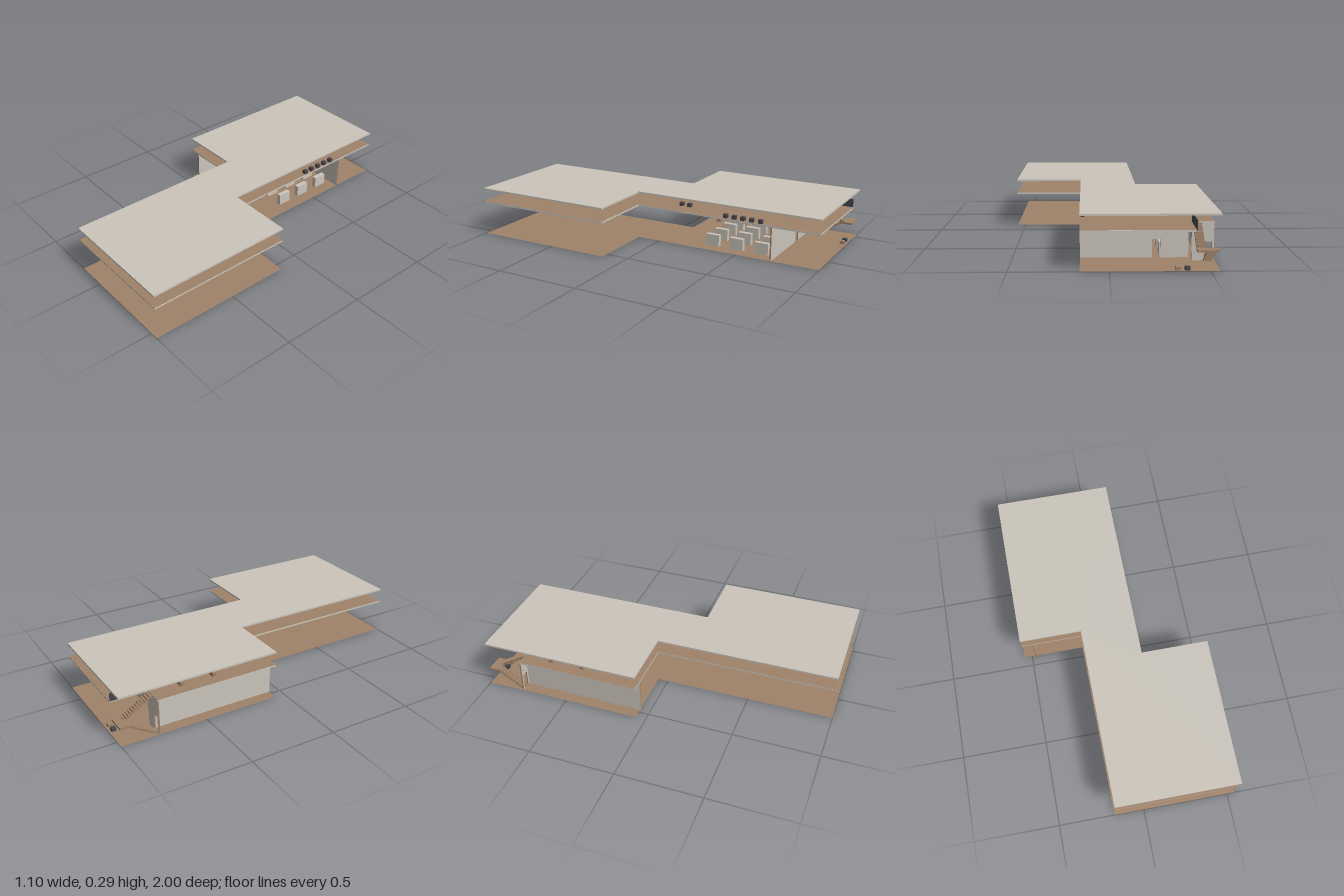
import * as THREE from 'three';

export function createModel() {
  const root = new THREE.Group();
  const mat = (name, color, side = THREE.FrontSide) => {
    const m = new THREE.MeshStandardMaterial({ color, side });
    m.name = name;
    return m;
  };
  const plaster = mat('plaster', 0xcbc5bb);
  const wood = mat('wood', 0xa0836a, THREE.DoubleSide);
  const dark = mat('darkGrey', 0x47474d);

  const add = (name, geometry, material, parent = root) => {
    const mesh = new THREE.Mesh(geometry, material);
    mesh.name = name;
    parent.add(mesh);
    return mesh;
  };
  const group = (name) => {
    const g = new THREE.Group();
    g.name = name;
    root.add(g);
    return g;
  };
  // Box given by its footprint centre and its base height
  const box = (name, m, x, y, z, w, h, d, parent = root) => {
    const mesh = add(name, new THREE.BoxGeometry(w, h, d), m, parent);
    mesh.position.set(x, y + h / 2, z);
    return mesh;
  };
  // Plan outlines are written as [x, z] pairs
  const plan = (pts) => new THREE.Shape(pts.map(([x, z]) => new THREE.Vector2(x, -z)));
  const slab = (name, pts, y, h) => {
    const geo = new THREE.ExtrudeGeometry(plan(pts), { depth: h, bevelEnabled: false });
    geo.rotateX(-Math.PI / 2).translate(0, y, 0);
    return add(name, geo, plaster);
  };
  const sheet = (name, pts, y) =>
    add(name, new THREE.ShapeGeometry(plan(pts)).rotateX(-Math.PI / 2).translate(0, y, 0), wood);

  // Two offset wings
  const wings = [[0.145, -1], [0.15, 0.14], [0.547, 0.14], [0.547, 1],
    [-0.175, 1], [-0.18, -0.06], [-0.547, -0.06]];
  const outline = [[-0.55, -1], ...wings];
  const notched = [[-0.425, -1], ...wings, [-0.547, -0.785], [-0.425, -0.785]];

  // Floors and roof
  sheet('groundFloor', outline, 0.001);
  slab('upperSlab', notched, 0.197, 0.01);
  sheet('upperFloor', notched, 0.2075);
  slab('roof', outline, 0.278, 0.01);

  // Walls with wood-coloured edges, and an optional doorway
  const H = 0.197;
  const wallShape = (a, b, door) => {
    const p = [[a, 0]];
    if (door) p.push([door[0], 0], [door[0], 0.1], [door[1], 0.1], [door[1], 0]);
    p.push([b, 0], [b, H], [a, H]);
    return new THREE.Shape(p.map(([x, y]) => new THREE.Vector2(x, y)));
  };
  const wall = (name, a, b, door) => add(name,
    new THREE.ExtrudeGeometry(wallShape(a, b, door), { depth: 0.008, bevelEnabled: false }),
    [plaster, wood]);
  wall('mainBackWall', -0.422, 0.147, [-0.277, -0.232]).position.z = -0.72;
  wall('stairWall', -0.545, -0.43, [-0.535, -0.492]).position.z = -0.786;
  const side = wall('sideWall', 0.055, 0.778);
  side.rotation.y = Math.PI / 2;
  side.position.x = -0.48;

  // Ground floor blocks in rows
  const blocks = group('blocks');
  for (const z of [-0.32, -0.473, -0.63]) {
    for (let i = 0; i < 5; i++) {
      box('block', plaster, -0.4 + i * 0.115, 0, z, 0.027, 0.07, 0.082, blocks);
    }
  }
  box('receptionDesk', wood, -0.402, 0, -0.148, 0.085, 0.042, 0.028);

  // Upper floor desks and stools
  const furniture = group('upperFurniture');
  for (const [x, z] of [[-0.45, -0.415], [-0.45, -0.61], [-0.275, -0.15], [-0.105, -0.15]]) {
    box('desk', wood, x, 0.207, z, 0.072, 0.023, 0.024, furniture);
  }
  for (let i = 0; i < 5; i++) {
    box('stool', dark, 0.132, 0.207, -0.43 - i * 0.054, 0.024, 0.022, 0.024, furniture);
  }
  for (const z of [-0.097, -0.15]) {
    box('stool', dark, 0.041, 0.207, z, 0.024, 0.022, 0.024, furniture);
  }

  // Staircase: two flights meeting at a half landing
  const stairs = group('staircase');
  const n = 12;
  for (let i = 0; i < n; i++) {
    const z = -0.793 - (i * 0.15) / (n - 1);
    const rise = (i * 0.092) / (n - 1);
    box('lowerStep', wood, -0.513, rise, z, 0.045, 0.012, 0.016, stairs);
    box('upperStep', wood, -0.457, 0.188 - rise, z, 0.045, 0.012, 0.016, stairs);
  }
  box('landing', wood, -0.487, 0.093, -0.97, 0.108, 0.012, 0.056, stairs);
  box('railing', dark, -0.43, 0.207, -0.893, 0.004, 0.048, 0.21, stairs);

  // Small boxes behind the building
  box('smallWoodBox', wood, -0.34, 0, -0.975, 0.025, 0.02, 0.025);
  box('smallDarkBox', dark, -0.387, 0, -0.975, 0.025, 0.02, 0.025);

  return root;
}
